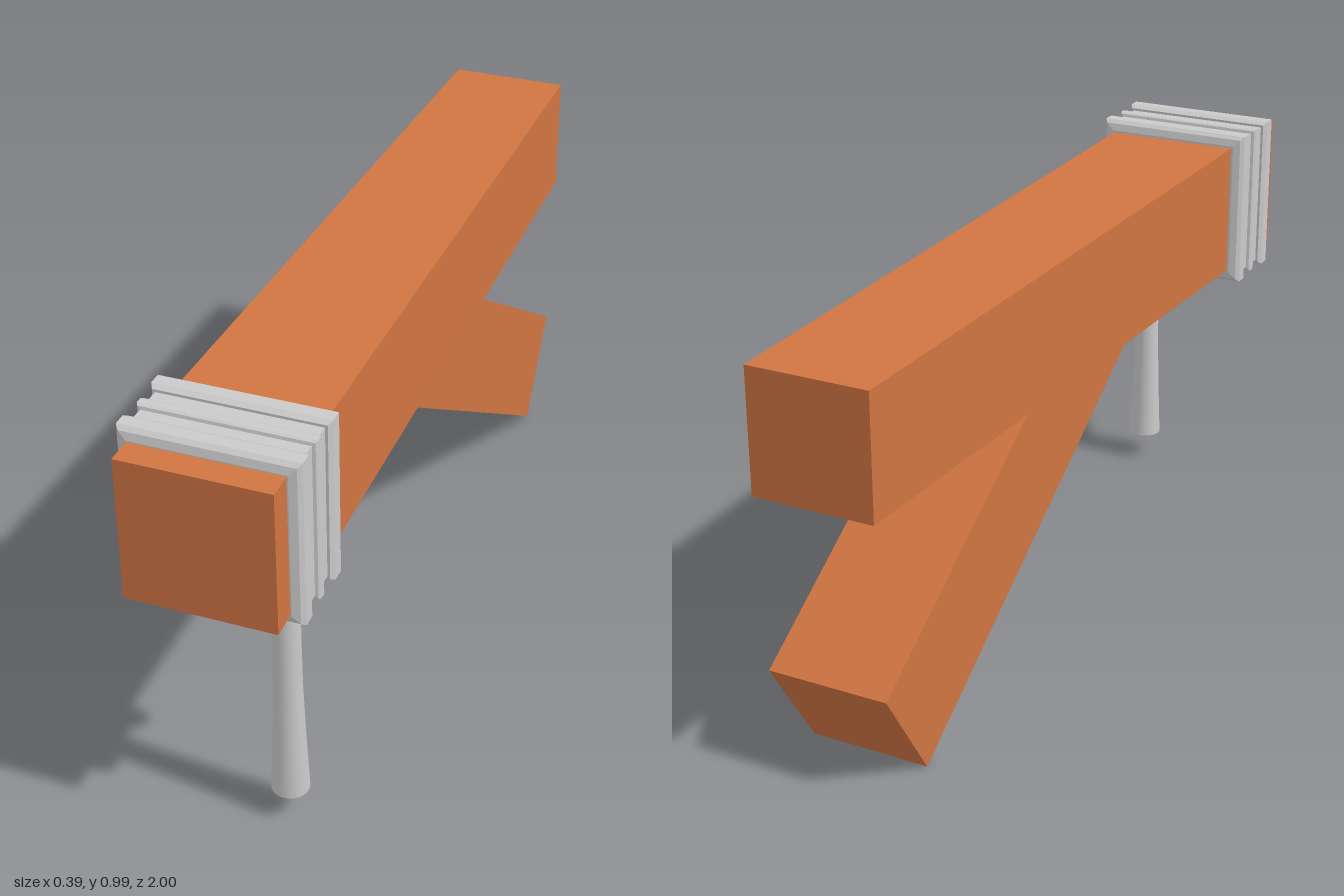
import * as THREE from 'three';

const wood = new THREE.MeshStandardMaterial({ color: 0xd07542 });
wood.name = 'orange wood';
const metal = new THREE.MeshStandardMaterial({ color: 0xcacaca });
metal.name = 'light grey metal';

const BEAM_Y = 0.793;

function add(group, name, geometry, material) {
  const mesh = new THREE.Mesh(geometry, material);
  mesh.name = name;
  group.add(mesh);
  return mesh;
}

// Square beam, tapering from front to back
function beamGeometry() {
  const g = new THREE.BoxGeometry(2, 2, 2);
  const p = g.attributes.position;
  for (let i = 0; i < p.count; i++) {
    const half = p.getZ(i) > 0 ? 0.168 : 0.142;
    p.setXY(i, p.getX(i) * half, p.getY(i) * half);
  }
  g.computeVertexNormals();
  return g;
}

// Slanted brace: side outline in (z, y), extruded across x
function braceGeometry() {
  const outline = [[-0.825, 0], [0.19, 0.654], [-0.33, 0.654], [-0.978, 0.24]];
  const shape = new THREE.Shape(outline.map(([z, y]) => new THREE.Vector2(-z, y)));
  const g = new THREE.ExtrudeGeometry(shape, { depth: 0.284, bevelEnabled: false });
  g.translate(0, 0, -0.142);
  return g.rotateY(Math.PI / 2);
}

// Square collar: a four-sided turning of a ridged profile [half width, z]
function collarGeometry() {
  const profile = [
    [0.16, 0.72], [0.17, 0.72], [0.187, 0.725], [0.195, 0.735], [0.195, 0.765], [0.188, 0.777],
    [0.182, 0.777], [0.182, 0.812], [0.189, 0.814], [0.192, 0.82], [0.192, 0.837], [0.189, 0.843],
    [0.182, 0.845], [0.182, 0.88], [0.188, 0.88], [0.195, 0.892], [0.195, 0.922],
    [0.187, 0.932], [0.17, 0.937], [0.16, 0.937],
  ];
  const points = profile.map(([r, z]) => new THREE.Vector2(r * Math.SQRT2, z));
  const g = new THREE.LatheGeometry(points, 4, Math.PI / 4).rotateX(Math.PI / 2);
  const flat = g.toNonIndexed();
  flat.computeVertexNormals();
  return flat;
}

export function createModel() {
  const model = new THREE.Group();
  model.name = 'beamWithCollar';

  add(model, 'beam', beamGeometry(), wood).position.y = BEAM_Y;
  add(model, 'brace', braceGeometry(), wood);
  add(model, 'collar', collarGeometry(), metal).position.y = BEAM_Y;

  // Flared handle hanging below the collar
  const handle = new THREE.Group();
  handle.name = 'handle';
  handle.position.set(0.114, 0, 0.84);
  const profile = [[0.0425, 0.068], [0.037, 0.2], [0.0325, 0.34], [0.0315, 0.45], [0.0315, 0.63]];
  add(handle, 'handleShaft',
    new THREE.LatheGeometry(profile.map(([r, y]) => new THREE.Vector2(r, y)), 24), metal);
  const end = add(handle, 'handleEnd', new THREE.CircleGeometry(0.0425, 24), metal);
  end.rotation.x = Math.PI / 2;
  end.position.y = 0.068;
  model.add(handle);

  return model;
}
